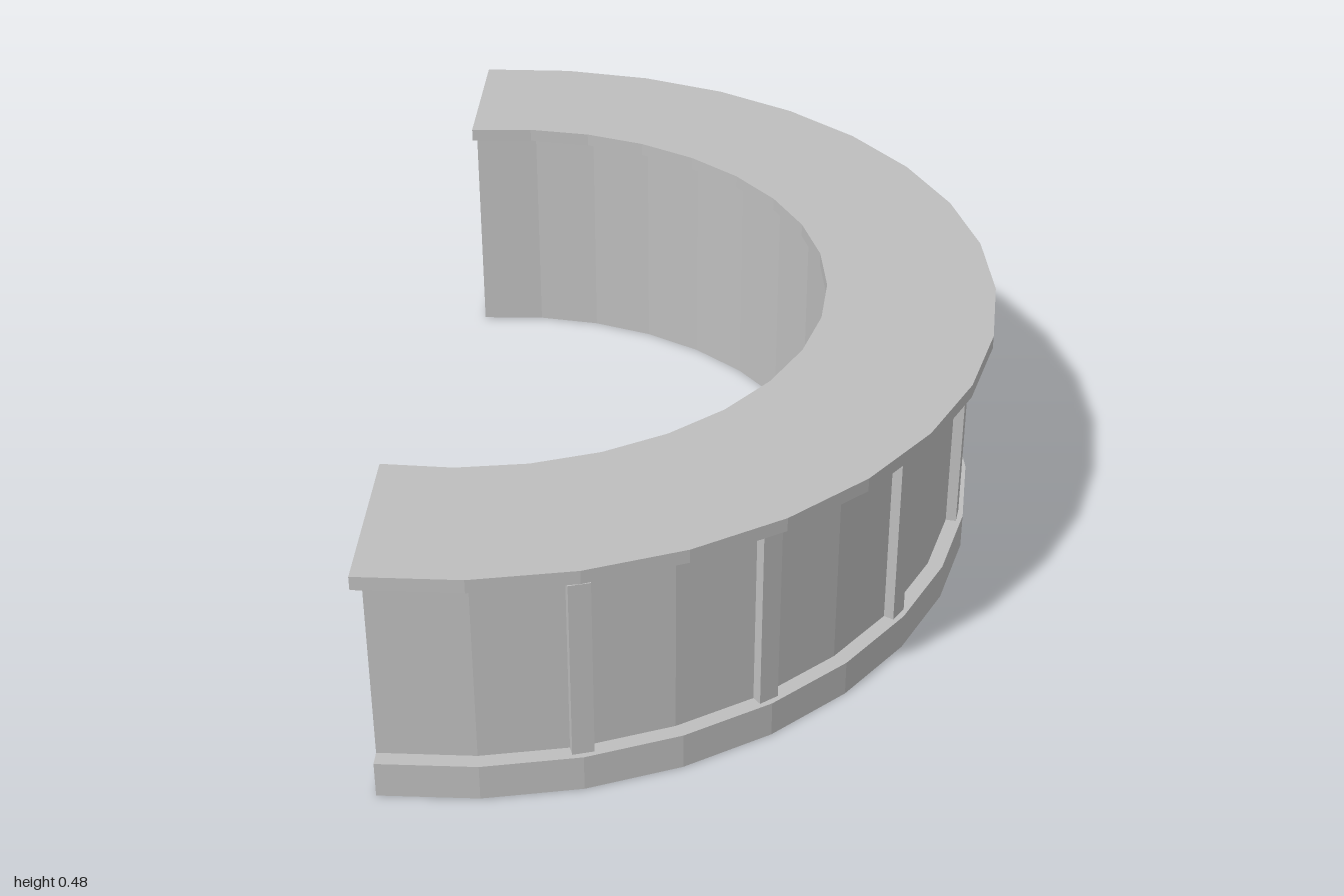
import * as THREE from 'three';

const CX = -0.379, CZ = 0.002;              // centre of the arc
const MID = THREE.MathUtils.degToRad(9);    // direction of the arc's middle
const SEGMENTS = 18;

// Curved slab: both ends lie on one straight line, `cut` behind the arc centre
function arcSlab(name, inner, outer, cut, y0, y1, material) {
  const ring = (r) => {
    const half = Math.PI / 2 + Math.asin(cut / r);
    return Array.from({ length: SEGMENTS + 1 }, (_, i) => {
      const a = MID - half + (2 * half * i) / SEGMENTS;
      return new THREE.Vector2(r * Math.cos(a), r * Math.sin(a));
    });
  };
  const shape = new THREE.Shape([...ring(outer), ...ring(inner).reverse()]);
  const geometry = new THREE.ExtrudeGeometry(shape, { depth: y1 - y0, bevelEnabled: false });
  geometry.rotateX(-Math.PI / 2);
  const mesh = new THREE.Mesh(geometry, material);
  mesh.name = name;
  mesh.position.set(CX, y0, CZ);
  return mesh;
}

export function createModel() {
  const group = new THREE.Group();
  group.name = 'curvedCounter';
  const grey = new THREE.MeshStandardMaterial({ color: 0xbebebe, flatShading: true });
  grey.name = 'plain grey';

  // Plinth, wall and overhanging top
  group.add(arcSlab('plinth', 0.692, 0.972, 0.087, 0, 0.07, grey));
  group.add(arcSlab('wall', 0.692, 0.943, 0.087, 0.07, 0.457, grey));
  group.add(arcSlab('counterTop', 0.677, 1.003, 0.095, 0.457, 0.483, grey));

  // Upright battens on the outer wall, one at every second corner
  const battens = new THREE.Group();
  battens.name = 'battens';
  const battenGeometry = new THREE.BoxGeometry(0.03, 0.393, 0.039);
  for (let i = 0; i < 9; i++) {
    const a = THREE.MathUtils.degToRad(-64.9 + 21.1 * i);
    const batten = new THREE.Mesh(battenGeometry, grey);
    batten.name = 'batten';
    batten.position.set(CX + 0.946 * Math.cos(a), 0.2285, CZ - 0.946 * Math.sin(a));
    batten.rotation.y = a;
    battens.add(batten);
  }
  group.add(battens);
  return group;
}
